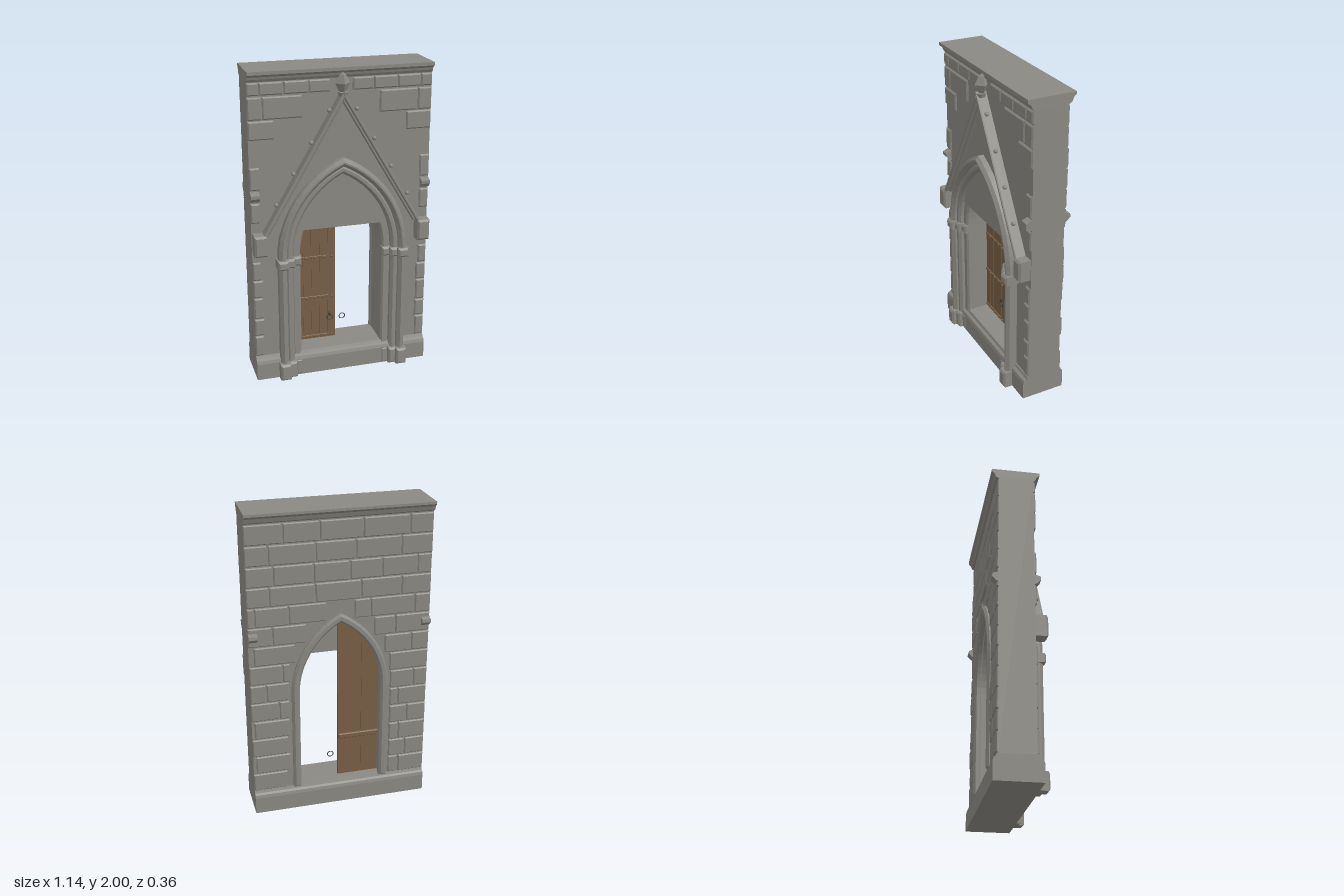
import * as THREE from 'three';

const stone = new THREE.MeshStandardMaterial({ color: 0x8a8882 });
stone.name = 'stone';
const wood = new THREE.MeshStandardMaterial({ color: 0x775e46 });
wood.name = 'wood';
const iron = new THREE.MeshStandardMaterial({ color: 0x45403a });
iron.name = 'iron';

const HALF = 0.57, SPRING = 0.83, OFFSET = 0.263; // wall half width, arch spring, arc centre offset
const FRONT = 0.08, BACK = -0.135, SILL = 0.15;

export function createModel() {
  const root = new THREE.Group();
  root.name = 'gothicDoorway';

  const add = (name, geometry, material = stone, parent = root) => {
    const mesh = new THREE.Mesh(geometry, material);
    mesh.name = name;
    parent.add(mesh);
    return mesh;
  };

  const group = (name) => {
    const g = new THREE.Group();
    g.name = name;
    root.add(g);
    return g;
  };

  // Extrudes an outline from z0 to z1, with an optional bevel kept inside it
  const slab = (shape, z0, z1, bevel = 0) => {
    const g = new THREE.ExtrudeGeometry(shape, {
      depth: z1 - z0 - 2 * bevel, bevelEnabled: bevel > 0, bevelSize: bevel,
      bevelThickness: bevel, bevelOffset: -bevel, bevelSegments: 1, curveSegments: 8,
    });
    return g.translate(0, 0, z0 + bevel);
  };
  const poly = (pts) => new THREE.Shape(pts.map(([x, y]) => new THREE.Vector2(x, y)));
  const block = (x0, x1, y0, y1, z0, z1, bevel = 0.008) =>
    slab(poly([[x0, y0], [x1, y0], [x1, y1], [x0, y1]]), z0, z1, bevel);

  // Height of a pointed arch of half width w at x, and its half width at y
  const archY = (w, x) => SPRING + Math.sqrt(Math.max(0, (w + OFFSET) ** 2 - (Math.abs(x) + OFFSET) ** 2));
  const archX = (w, y) => (y < SPRING ? w
    : Math.max(0, Math.sqrt(Math.max(0, (w + OFFSET) ** 2 - (y - SPRING) ** 2)) - OFFSET));

  // Arch outline from bottom right, over the point, to bottom left
  const archPoints = (w, bottom, n = 12) => {
    const r = w + OFFSET, end = Math.acos(OFFSET / r), right = [[w, bottom]];
    for (let i = 0; i <= n; i++) {
      const a = (end * i) / n;
      right.push([r * Math.cos(a) - OFFSET, SPRING + r * Math.sin(a)]);
    }
    right[n + 1][0] = 0;
    return [...right, ...right.slice(0, -1).reverse().map(([x, y]) => [-x, y])];
  };
  const archBand = (outer, inner, bottom, z0, z1, bevel) =>
    slab(poly([...archPoints(outer, bottom), ...archPoints(inner, bottom).reverse()]), z0, z1, bevel);

  // Profile of [z, y] points run along the x axis
  const moulding = (pts, x0, x1) => {
    const g = new THREE.ExtrudeGeometry(poly(pts.map(([z, y]) => [-z, y])), { depth: x1 - x0, bevelEnabled: false });
    return g.rotateY(Math.PI / 2).translate(x0, 0, 0);
  };

  // Wall with the pointed opening
  add('wall', slab(poly([[-HALF, SILL], ...archPoints(0.27, SILL).reverse(),
    [HALF, SILL], [HALF, 1.95], [-HALF, 1.95]]), BACK, FRONT));
  add('plinth', moulding([[0.12, 0], [0.12, 0.11], [0.113, 0.13], [0.095, 0.14], [0.088, 0.155],
    [-0.142, 0.155], [-0.148, 0.14], [-0.16, 0.13], [-0.165, 0.11], [-0.165, 0]], -HALF, HALF));
  add('cornice', moulding([[0.085, 1.935], [0.095, 1.95], [0.1, 1.965], [0.12, 1.98], [0.12, 2],
    [-0.18, 2], [-0.18, 1.985], [-0.165, 1.97], [-0.155, 1.945], [-0.14, 1.935]], -HALF, HALF));

  // Short ends of the string course, front and back
  const stringEnds = group('stringCourseEnds');
  for (const x0 of [-HALF, 0.515]) {
    add('stringEnd', moulding([[0.07, 1.2], [0.095, 1.21], [0.118, 1.235], [0.118, 1.255], [0.07, 1.275]],
      x0, x0 + 0.055), stone, stringEnds);
    add('stringEnd', moulding([[-0.12, 1.275], [-0.172, 1.255], [-0.175, 1.235], [-0.15, 1.21], [-0.12, 1.2]],
      x0, x0 + 0.055), stone, stringEnds);
  }

  // Front blocks: [inner x, outer x, bottom, top], used on both sides
  const frontBlocks = group('frontBlocks');
  const fronts = [
    [0.07, 0.2, 1.855, 1.93], [0.203, 0.35, 1.855, 1.93], [0.353, 0.497, 1.855, 1.93], [0.5, 0.57, 1.855, 1.93],
    [0.24, 0.48, 1.71, 1.845], [0.484, 0.57, 1.71, 1.845], [0.412, 0.57, 1.59, 1.703],
    [0.508, 0.57, 1.28, 1.42], [0.512, 0.57, 1.07, 1.195], [0.518, 0.57, 0.69, 0.81], [0.506, 0.57, 0.57, 0.684],
    [0.51, 0.57, 0.425, 0.564], [0.506, 0.57, 0.305, 0.418], [0.512, 0.57, 0.16, 0.298],
  ];
  for (const [a, b, y0, y1] of fronts) {
    for (const s of [-1, 1]) {
      add('frontBlock', block(Math.min(s * a, s * b), Math.max(s * a, s * b), y0, y1, 0.07, 0.092), stone, frontBlocks);
    }
  }

  // Back masonry in staggered courses, trimmed around the arch
  const backBlocks = group('backBlocks');
  let seed = 7;
  const rand = () => ((seed = (seed * 16807) % 2147483647) / 2147483647);
  const rows = 14, rowH = (1.935 - 0.16) / rows;
  for (let r = 0; r < rows; r++) {
    const y0 = 0.16 + r * rowH, y1 = y0 + rowH - 0.008;
    const gap = y0 > 1.34 ? 0 : archX(0.32, y0) + 0.008;
    let x = -HALF - (r % 2 ? 0.13 : 0.02);
    while (x < HALF) {
      const next = x + 0.2 + rand() * 0.09;
      const a = Math.max(x, -HALF), b = Math.min(next - 0.008, HALF);
      const spans = gap ? [[a, Math.min(b, -gap)], [Math.max(a, gap), b]] : [[a, b]];
      for (const [p, q] of spans) {
        if (q - p > 0.03) add('backBlock', block(p, q, y0, y1, -0.143 - rand() * 0.006, -0.12, 0.006), stone, backBlocks);
      }
      x = next;
    }
  }

  // Stepped arch orders, each running down into its shafts
  const portal = group('portal');
  add('outerArch', archBand(0.415, 0.365, 0.08, 0.07, 0.155, 0.02), stone, portal);
  add('middleArch', archBand(0.37, 0.32, 0.08, 0.07, 0.128, 0.016), stone, portal);
  add('innerArch', archBand(0.325, 0.268, 0.08, 0.03, 0.095, 0.012), stone, portal);
  add('backArchMoulding', archBand(0.312, 0.262, SILL, -0.16, -0.11, 0.014), stone, portal);

  // Capitals and bases: [inner x, outer x, front z of base]
  for (const [a, b, z] of [[0.355, 0.425, 0.18], [0.31, 0.362, 0.153], [0.264, 0.315, 0.125]]) {
    for (const s of [-1, 1]) {
      const x0 = Math.min(s * a, s * b), x1 = Math.max(s * a, s * b);
      add('base', block(x0, x1, 0, 0.112, 0.05, z, 0.012), stone, portal);
      add('capital', block(x0, x1, 0.77, 0.83, 0.05, z - 0.008, 0.012), stone, portal);
    }
  }

  // Gable with raking mouldings, knobs, end blocks and finial
  const gable = group('gable');
  add('gablePanel', slab(poly([[-0.5, 1], [0.5, 1], [0, 1.84]]), 0.06, 0.1), stone, gable);
  for (const s of [-1, 1]) {
    const rake = (inner, outer) => {
      const pts = [[s * (0.505 - inner), 1], [s * (0.505 - outer), 1], [0, 1.862 - outer * 1.7], [0, 1.862 - inner * 1.7]];
      return poly(s > 0 ? pts.reverse() : pts);
    };
    add('rakingMoulding', slab(rake(0, 0.024), 0.06, 0.148, 0.006), stone, gable);
    add('rakingLedge', slab(rake(0.02, 0.042), 0.06, 0.125, 0.006), stone, gable);
    for (const [x, y] of [[0.085, 1.75], [0.197, 1.56], [0.308, 1.375], [0.418, 1.188]]) {
      const knob = add('knob', new THREE.IcosahedronGeometry(0.014, 1), stone, gable);
      knob.position.set(s * x, y, 0.118);
    }
    add('endBlock', block(s > 0 ? 0.485 : -0.565, s > 0 ? 0.565 : -0.485, 0.87, 1.005, 0.06, 0.158, 0.012), stone, gable);
  }
  const collar = add('finialCollar', new THREE.CylinderGeometry(0.034, 0.026, 0.025, 8), stone, gable);
  collar.position.set(0, 1.842, 0.115);
  const finial = add('finial', new THREE.LatheGeometry([[0, 1.84], [0.02, 1.85], [0.03, 1.87], [0.046, 1.905],
    [0.02, 1.955], [0, 1.972]].map(([x, y]) => new THREE.Vector2(x, y)), 4).toNonIndexed(), stone, gable);
  finial.geometry.computeVertexNormals();
  finial.position.z = 0.108;

  // Single pointed door leaf, clad with planks on both faces
  const door = group('doorLeaf');
  const plank = (x0, x1, z0, z1) => {
    const pts = [[x0, SILL], [x1, SILL]];
    for (let i = 0; i <= 6; i++) {
      const x = x1 + ((x0 - x1) * i) / 6;
      pts.push([x, archY(0.27, x)]);
    }
    return slab(poly(pts), z0, z1);
  };
  add('leafCore', plank(-0.27, 0, -0.07, -0.058), wood, door);
  const planks = (edges, z0, z1) => {
    for (let i = 0; i + 1 < edges.length; i++) {
      add('plank', plank(edges[i] + 0.002, edges[i + 1] - 0.002, z0, z1), wood, door);
    }
  };
  planks([-0.27, -0.22, -0.165, -0.11, -0.055, 0], -0.058, -0.052);
  planks([-0.27, -0.155, 0], -0.076, -0.07);
  add('backRail', block(-0.27, -0.004, 0.43, 0.465, -0.09, -0.07, 0.005), wood, door);
  for (const y of [0.175, 0.46, 0.745]) {
    add('hingeStrap', block(-0.265, -0.05, y - 0.008, y + 0.008, -0.054, -0.044, 0.002), wood, door);
    for (const x of [-0.2, -0.14, -0.08, -0.03]) {
      const stud = add('stud', new THREE.SphereGeometry(0.009, 8, 6), wood, door);
      stud.position.set(x, y - 0.002, -0.046);
    }
  }

  // Pull rings
  for (const x of [-0.042, 0.042]) {
    const ring = add('pullRing', new THREE.TorusGeometry(0.019, 0.003, 6, 20), iron);
    ring.position.set(x, 0.3, -0.046);
  }
  add('ringPlate', block(-0.052, -0.032, 0.312, 0.338, -0.054, -0.042, 0.003), iron, door);

  return root;
}
